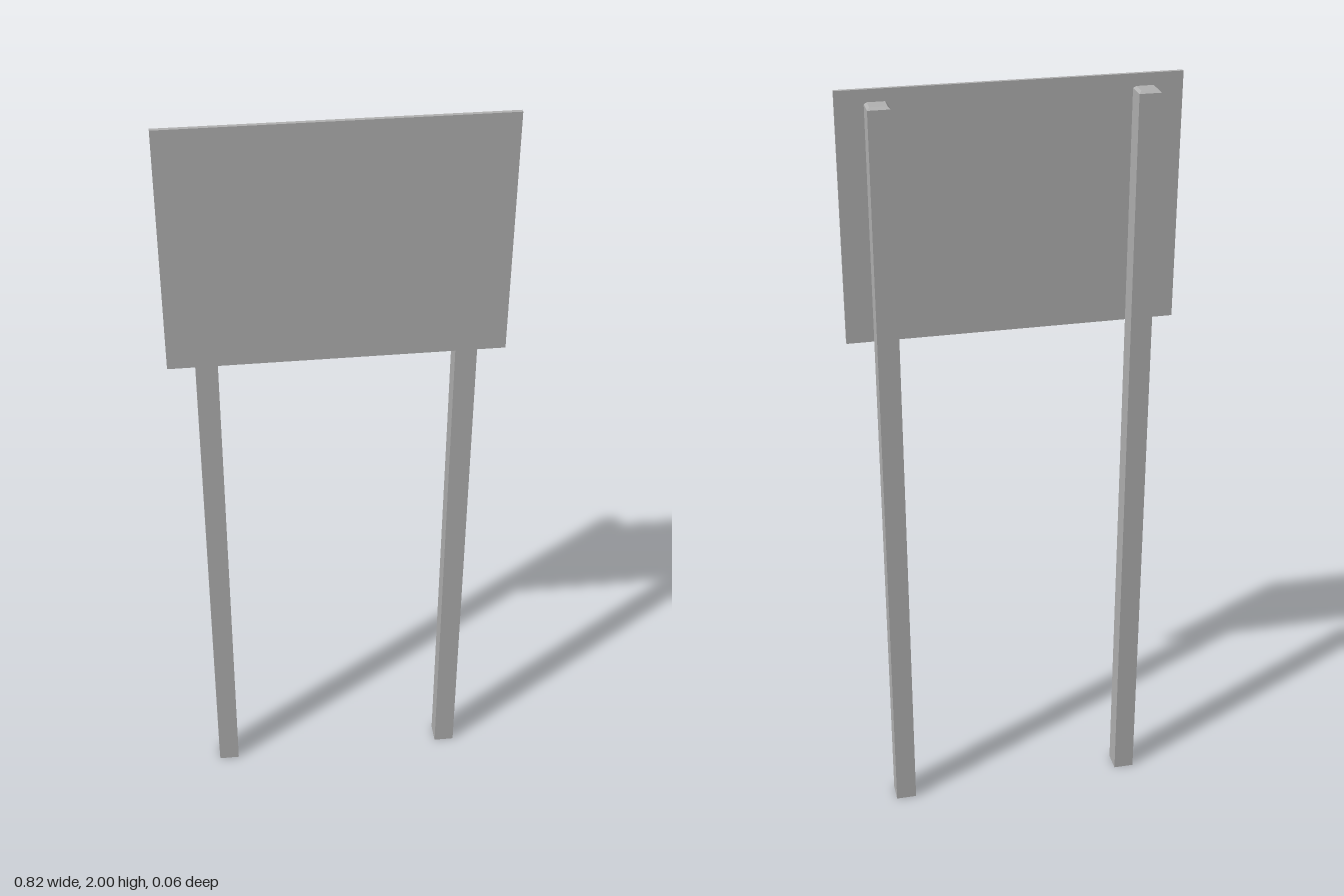
import * as THREE from 'three';

const grey = new THREE.MeshStandardMaterial({ color: 0xb2b2b2 });
grey.name = 'grey';

// Square post with a small chamfer around its top
function postGeometry(width, height, chamfer) {
  const r = width / Math.SQRT2;
  const profile = [
    [0, 0], [r, 0], [r, height - chamfer], [r - chamfer * Math.SQRT2, height], [0, height],
  ].map(([x, y]) => new THREE.Vector2(x, y));
  const geometry = new THREE.LatheGeometry(profile, 4, Math.PI / 4).toNonIndexed();
  geometry.computeVertexNormals();
  return geometry;
}

export function createModel() {
  const group = new THREE.Group();
  group.name = 'signboard';

  // Flat panel mounted on the front of the posts
  const panel = new THREE.Mesh(new THREE.BoxGeometry(0.824, 0.62, 0.01), grey);
  panel.name = 'panel';
  panel.position.set(0, 1.69, 0.027);
  group.add(panel);

  // Pair of posts
  const geometry = postGeometry(0.054, 1.972, 0.006);
  for (const side of [-1, 1]) {
    const post = new THREE.Mesh(geometry, grey);
    post.name = side > 0 ? 'leftPost' : 'rightPost';
    post.position.set(side * 0.317, 0, -0.005);
    group.add(post);
  }
  return group;
}
